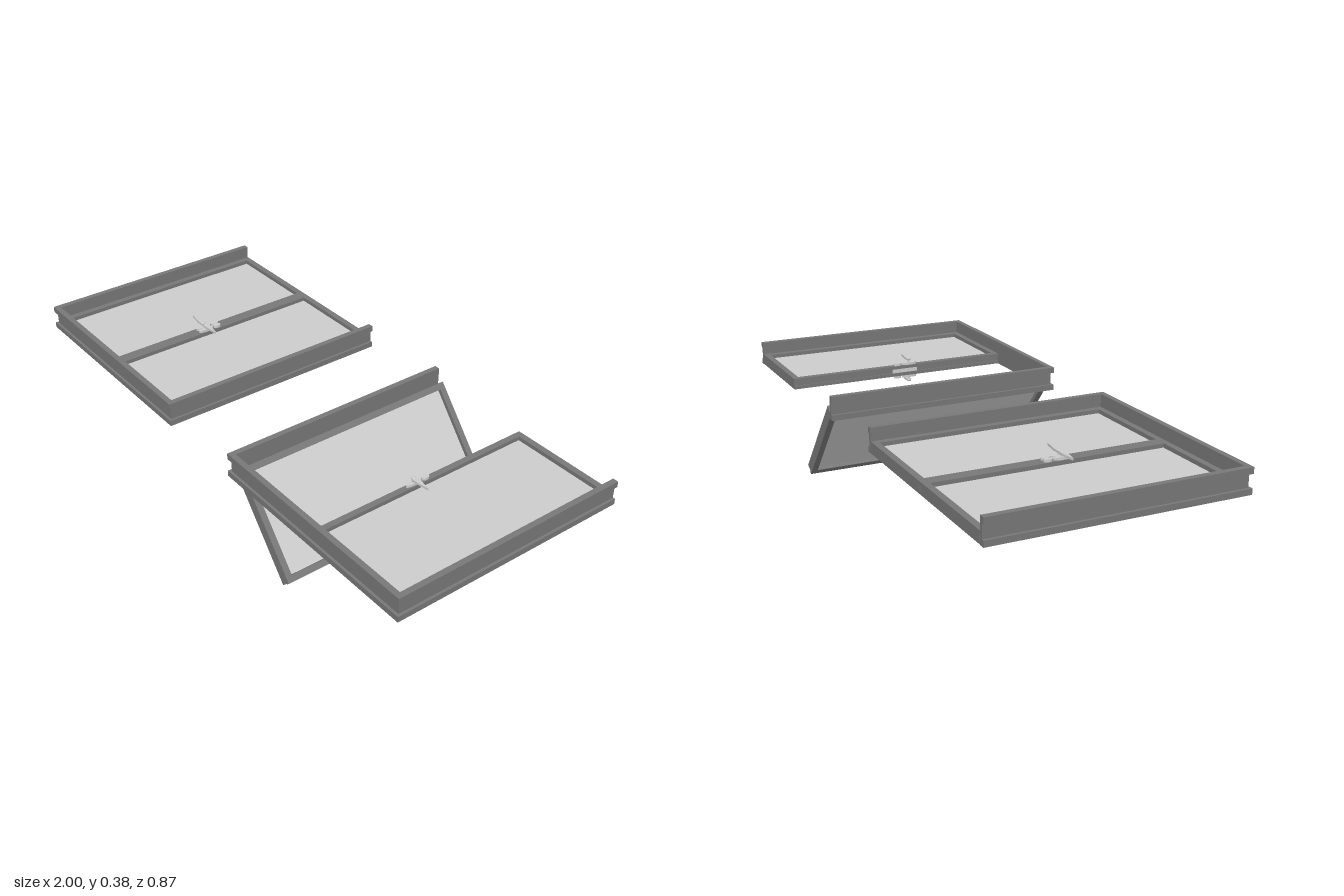
import * as THREE from 'three';

const grey = new THREE.MeshStandardMaterial({ color: 0xcccccc });
const darkGrey = new THREE.MeshStandardMaterial({ color: 0x777777 });
const LEAF = 0.392, THICK = 0.04;    // leaf width and thickness
const BACK = -0.434, FRONT = 0.413;  // leaf extent in z
const STILE = 0.022;                 // width of the sash bars

function add(parent, name, geometry, material, x = 0, y = 0, z = 0) {
  const mesh = new THREE.Mesh(geometry, material);
  mesh.name = name;
  mesh.position.set(x, y, z);
  parent.add(mesh);
  return mesh;
}

// Extrudes a plan outline given as [x, z] points upward from y0 to y1
function plan(points, y0, y1, hole) {
  const toVec = ([x, z]) => new THREE.Vector2(x, -z);
  const shape = new THREE.Shape(points.map(toVec));
  if (hole) shape.holes.push(new THREE.Path(hole.map(toVec)));
  return new THREE.ExtrudeGeometry(shape, { depth: y1 - y0, bevelEnabled: false })
    .rotateX(-Math.PI / 2).translate(0, y0, 0);
}

// Counter-clockwise rectangle as seen from above
const rect = (xa, xb, z0, z1) => {
  const x0 = Math.min(xa, xb), x1 = Math.max(xa, xb);
  return [[x0, z1], [x1, z1], [x1, z0], [x0, z0]];
};

// Three-sided channel frame, open at the back, with flanges facing outward
function outerFrame() {
  const g = new THREE.Group();
  g.name = 'outerFrame';
  const uShape = (half, front) => [
    [-half, BACK], [-half, front], [half, front], [half, BACK],
    [0.394, BACK], [0.394, 0.414], [-0.394, 0.414], [-0.394, BACK],
  ];
  add(g, 'lowerFlange', plan(uShape(0.414, 0.434), 0.297, 0.317), darkGrey);
  add(g, 'frameWeb', plan(uShape(0.405, 0.425), 0.317, 0.362), darkGrey);
  add(g, 'upperFlange', plan(uShape(0.414, 0.434), 0.362, 0.383), darkGrey);
  return g;
}

// Handle set on one face; up is +1 for the top face and -1 for the bottom face
function handle(s, up) {
  const g = new THREE.Group();
  g.name = up > 0 ? 'upperHandle' : 'lowerHandle';
  const x = s * (LEAF - 0.009);
  const at = (h) => (up > 0 ? THICK : 0) + up * h;
  const oval = (length) => new THREE.CylinderGeometry(1, 1, 0.009, 20).scale(0.009, 1, length / 2);
  add(g, 'handlePlate', oval(0.06), grey, x, at(0.0045), 0.03);
  add(g, 'keyholePlate', oval(0.03), grey, x, at(0.0045), -0.018);
  add(g, 'handleStem', new THREE.CylinderGeometry(0.004, 0.004, 0.02, 12), grey, x, at(0.012), 0.03);
  add(g, 'handleKnob', new THREE.SphereGeometry(0.008, 14, 10).scale(1, 0.8, 1), grey, x, at(0.022), 0.03);
  // Flat lever tapering to a point toward the hinge side
  const tip = -s * 0.068;
  const lever = plan([[0, -0.009], [-s * 0.018, -0.009], [tip, -0.001],
    [tip, 0.001], [-s * 0.018, 0.009], [0, 0.009]], -0.004, 0.004);
  add(g, 'handleLever', lever, grey, x, at(0.021), 0.03);
  return g;
}

// One glazed leaf measured from its hinge edge; s = +1 runs toward +x, -1 toward -x
function leaf(s, name) {
  const g = new THREE.Group();
  g.name = name;
  const hole = rect(s * STILE, s * (LEAF - STILE), BACK + STILE, FRONT - STILE);
  // Three layers leave a shallow groove along the meeting edge
  const layers = [[0, 0.013, 0], [0.013, 0.028, 0.004], [0.028, THICK, 0]];
  for (const [y0, y1, inset] of layers) {
    add(g, 'sash', plan(rect(0, s * (LEAF - inset), BACK, FRONT), y0, y1, hole), darkGrey);
  }
  add(g, 'lockPlate', new THREE.BoxGeometry(0.004, 0.015, 0.1), grey,
    s * (LEAF - 0.003), 0.0205, 0.01);
  add(g, 'glassPane', new THREE.BoxGeometry(LEAF - 2 * STILE, 0.012, FRONT - BACK - 2 * STILE),
    grey, s * LEAF / 2, THICK / 2, (FRONT + BACK) / 2);
  for (const z of [0.262, -0.282]) {
    add(g, 'hinge', new THREE.CylinderGeometry(0.004, 0.004, z > 0 ? 0.085 : 0.043, 10)
      .rotateX(Math.PI / 2), darkGrey, s * 0.004, 0, z);
  }
  g.add(handle(s, 1), handle(s, -1));
  return g;
}

function windowUnit(name, x, opened) {
  const g = new THREE.Group();
  g.name = name;
  g.position.x = x;
  g.add(outerFrame());
  const first = leaf(1, 'rightHandLeaf'), second = leaf(-1, 'leftHandLeaf');
  first.position.set(-LEAF, 0.298, 0);
  second.position.set(LEAF, 0.298, 0);
  if (opened) {
    // Swung out below the frame
    first.position.set(-0.402, 0.315, 0);
    first.rotation.z = THREE.MathUtils.degToRad(-50.2);
  }
  g.add(first, second);
  return g;
}

export function createModel() {
  const model = new THREE.Group();
  model.name = 'windowPair';
  model.add(windowUnit('closedWindow', -0.586, false), windowUnit('openWindow', 0.586, true));
  return model;
}
